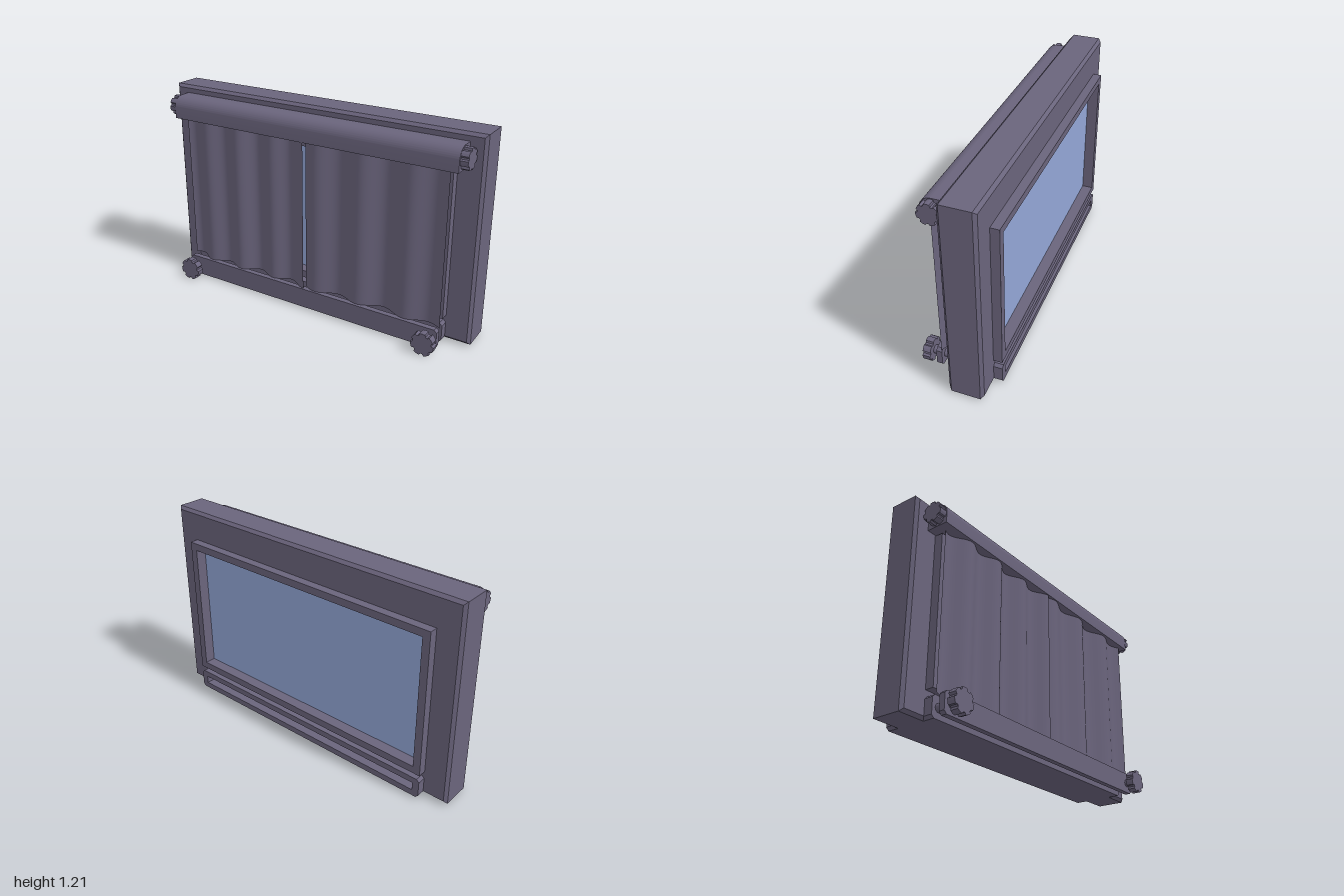
import * as THREE from 'three';
import { toCreasedNormals } from 'three/addons/utils/BufferGeometryUtils.js';

const body = new THREE.MeshStandardMaterial({ name: 'purple grey', color: 0x6a647c });
const cloth = new THREE.MeshStandardMaterial({ name: 'curtain purple grey', color: 0x6a647c, side: THREE.DoubleSide });
const glassBlue = new THREE.MeshStandardMaterial({ name: 'glass blue', color: 0x93a6d6 });

// Rectangle outline with chamfered corners
function rect(hw, y0, y1, c = 0, Type = THREE.Shape) {
  const pts = c
    ? [[-hw + c, y0], [hw - c, y0], [hw, y0 + c], [hw, y1 - c], [hw - c, y1], [-hw + c, y1], [-hw, y1 - c], [-hw, y0 + c]]
    : [[-hw, y0], [hw, y0], [hw, y1], [-hw, y1]];
  return new Type(pts.map(([x, y]) => new THREE.Vector2(x, y)));
}

function hole(shape, hw, y0, y1) {
  shape.holes.push(rect(hw, y0, y1, 0, THREE.Path));
  return shape;
}

// Extrude a shape from z0 to z1
function slab(shape, z0, z1, bevel = 0) {
  const geo = new THREE.ExtrudeGeometry(shape, {
    depth: z1 - z0 - 2 * bevel, curveSegments: 14,
    bevelEnabled: bevel > 0, bevelSize: bevel, bevelThickness: bevel, bevelSegments: 1,
  });
  return geo.translate(0, 0, z0 + bevel);
}

// Lobed hand knob, its axis along z from 0 to depth
function knobGeometry(r, depth) {
  const lobes = 7, pts = [];
  for (let i = 0; i < lobes; i++) {
    for (const [t, k] of [[-0.28, 1], [0, 1.0], [0.28, 1], [0.4, 0.82], [0.6, 0.82]]) {
      const a = ((i + t) / lobes) * Math.PI * 2 + Math.PI / 2;
      pts.push(new THREE.Vector2(Math.cos(a) * r * k, Math.sin(a) * r * k));
    }
  }
  return slab(new THREE.Shape(pts), 0, depth);
}

// Hanging cloth between x0 and x1 with soft folds
function curtainGeometry(x0, x1, foldZ) {
  const geo = new THREE.PlaneGeometry(x1 - x0, 0.92, 72, 8);
  geo.translate((x0 + x1) / 2, 0.59, 0);
  const p = geo.attributes.position;
  for (let i = 0; i < p.count; i++) p.setZ(i, foldZ(p.getX(i)));
  geo.computeVertexNormals();
  return geo;
}

export function createModel() {
  const group = new THREE.Group();
  const add = (name, geo, mat = body) => {
    const mesh = new THREE.Mesh(geo, mat);
    mesh.name = name;
    group.add(mesh);
    return mesh;
  };

  // Chamfered wall block with window and slot openings
  const b = 0.017;
  const wall = rect(1 - b, 0.01 + b, 1.21 - b);
  hole(wall, 0.837, 0.175, 1.015);
  hole(wall, 0.832, 0.028, 0.112);
  add('wall', slab(wall, -0.178, 0.02, b));

  // Window frame through the wall, with its pane
  add('windowFrame', slab(hole(rect(0.855, 0.16, 1.03), 0.81, 0.203, 0.987), -0.228, 0.07));
  add('windowGlass', new THREE.BoxGeometry(1.63, 0.8, 0.165).translate(0, 0.595, -0.08), glassBlue);

  // Vent slot below the window and its clamped front cover
  add('slotFrame', slab(hole(rect(0.855, 0.01, 0.13, 0.016), 0.814, 0.046, 0.094), -0.228, 0.07));
  add('slotCover', slab(rect(0.86, 0.01, 0.13, 0.016), 0.12, 0.153));

  // Roller housing with a rounded front top edge
  const profile = new THREE.Shape();
  profile.moveTo(-0.02, 1.035);
  profile.lineTo(-0.02, 1.165);
  profile.lineTo(-0.083, 1.165);
  profile.absarc(-0.083, 1.1, 0.065, Math.PI / 2, Math.PI, false);
  profile.lineTo(-0.148, 1.035);
  profile.closePath();
  const housing = slab(profile, -0.91, 0.91).rotateY(Math.PI / 2);
  add('rollerHousing', toCreasedNormals(housing, 0.5));

  // Two curtains meeting at the middle
  add('rightCurtain', curtainGeometry(-0.86, 0, (x) =>
    0.112 + 0.024 * Math.cos(x * 27) + 0.007 * Math.cos(x * 11)), cloth);
  add('leftCurtain', curtainGeometry(0, 0.86, (x) =>
    0.112 + 0.024 * Math.sin(x * 22) + 0.007 * Math.sin(x * 9)), cloth);

  // Clamp bolts, front knobs and roller end knobs on both sides
  for (const [side, s] of [['left', 1], ['right', -1]]) {
    const bolt = new THREE.CylinderGeometry(0.024, 0.024, 0.13, 16).rotateX(Math.PI / 2);
    add(side + 'Bolt', bolt.translate(s * 0.81, 0.068, 0.125));
    add(side + 'ClampKnob', knobGeometry(0.068, 0.045).translate(s * 0.81, 0.068, 0.185));
    const end = add(side + 'RollerKnob', knobGeometry(0.06, 0.045));
    end.rotation.y = (s * Math.PI) / 2;
    end.position.set(s * 0.908, 1.1, 0.085);
  }
  return group;
}
